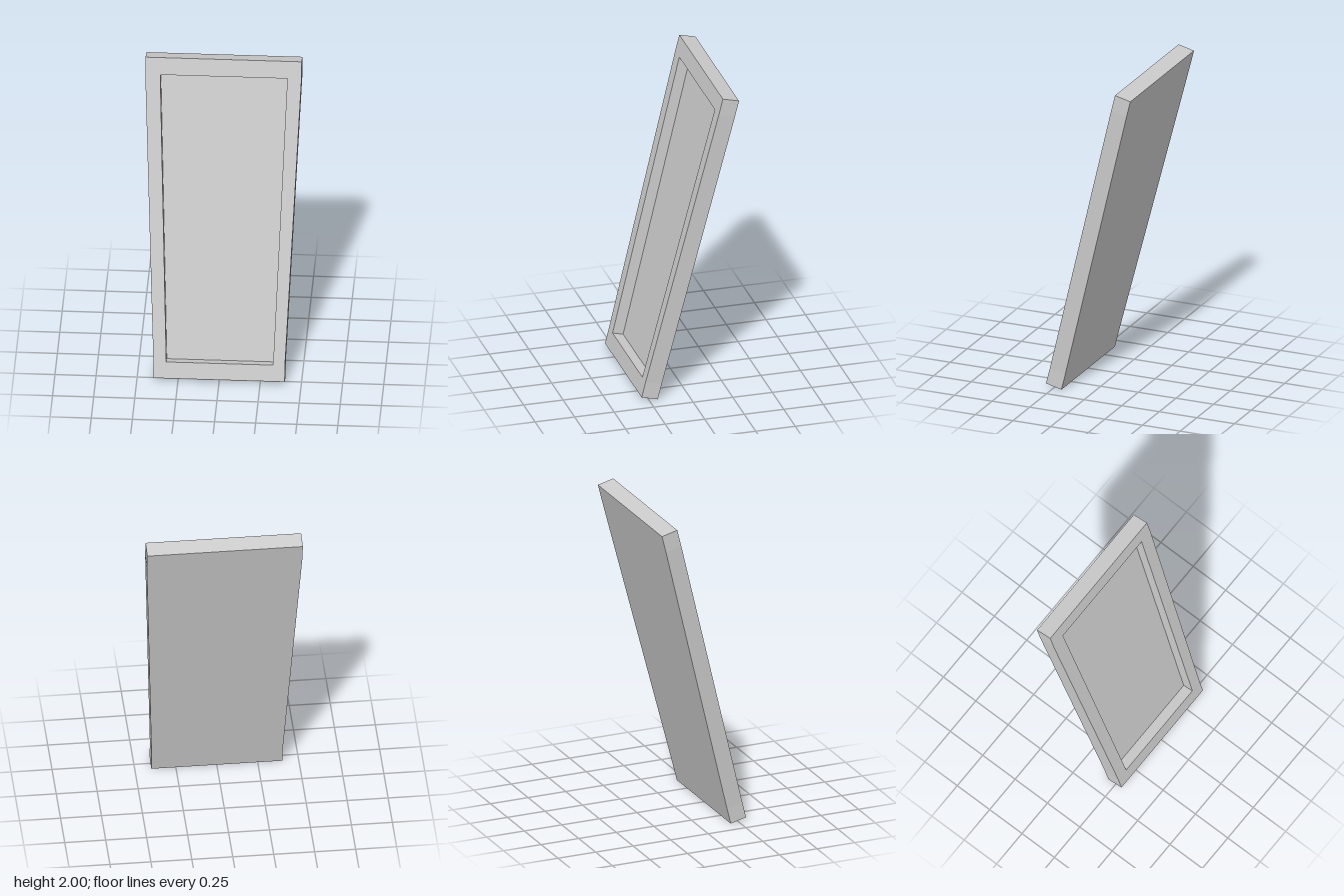
import * as THREE from 'three';

const TILT = 0.244;      // lean backwards, radians
const LENGTH = 2.035;    // along the slope
const THICKNESS = 0.105;
const DEPTH = 0.069;     // recess depth
const LOW = 0.104, HIGH = 1.926; // recess ends, where the sides start and stop tapering

// Symmetric tapered outline with short square ends
function outline() {
  const right = [[0.4, 0], [0.4, LOW], [0.475, HIGH], [0.475, LENGTH]];
  const left = right.map(([x, y]) => [-x, y]).reverse();
  return new THREE.Shape([...right, ...left].map(([x, y]) => new THREE.Vector2(x, y)));
}

function slab(name, shape, depth, z, material) {
  const geometry = new THREE.ExtrudeGeometry(shape, { depth, bevelEnabled: false });
  geometry.translate(0, 0, z);
  const mesh = new THREE.Mesh(geometry, material);
  mesh.name = name;
  return mesh;
}

export function createModel() {
  const material = new THREE.MeshStandardMaterial({ color: 0xcccccc, flatShading: true });
  const model = new THREE.Group();
  model.name = 'leaningPanel';

  const board = new THREE.Group();
  board.name = 'board';
  board.rotation.x = -TILT;
  board.position.z = 0.195;
  model.add(board);

  // Raised border around the recess
  const border = outline();
  border.holes.push(new THREE.Path([[-0.322, LOW], [-0.384, HIGH], [0.389, HIGH], [0.328, LOW]]
    .map(([x, y]) => new THREE.Vector2(x, y))));
  board.add(slab('frame', border, DEPTH, THICKNESS - DEPTH, material));

  // Solid back, which is also the recess floor
  board.add(slab('backPanel', outline(), THICKNESS - DEPTH, 0, material));

  return model;
}
